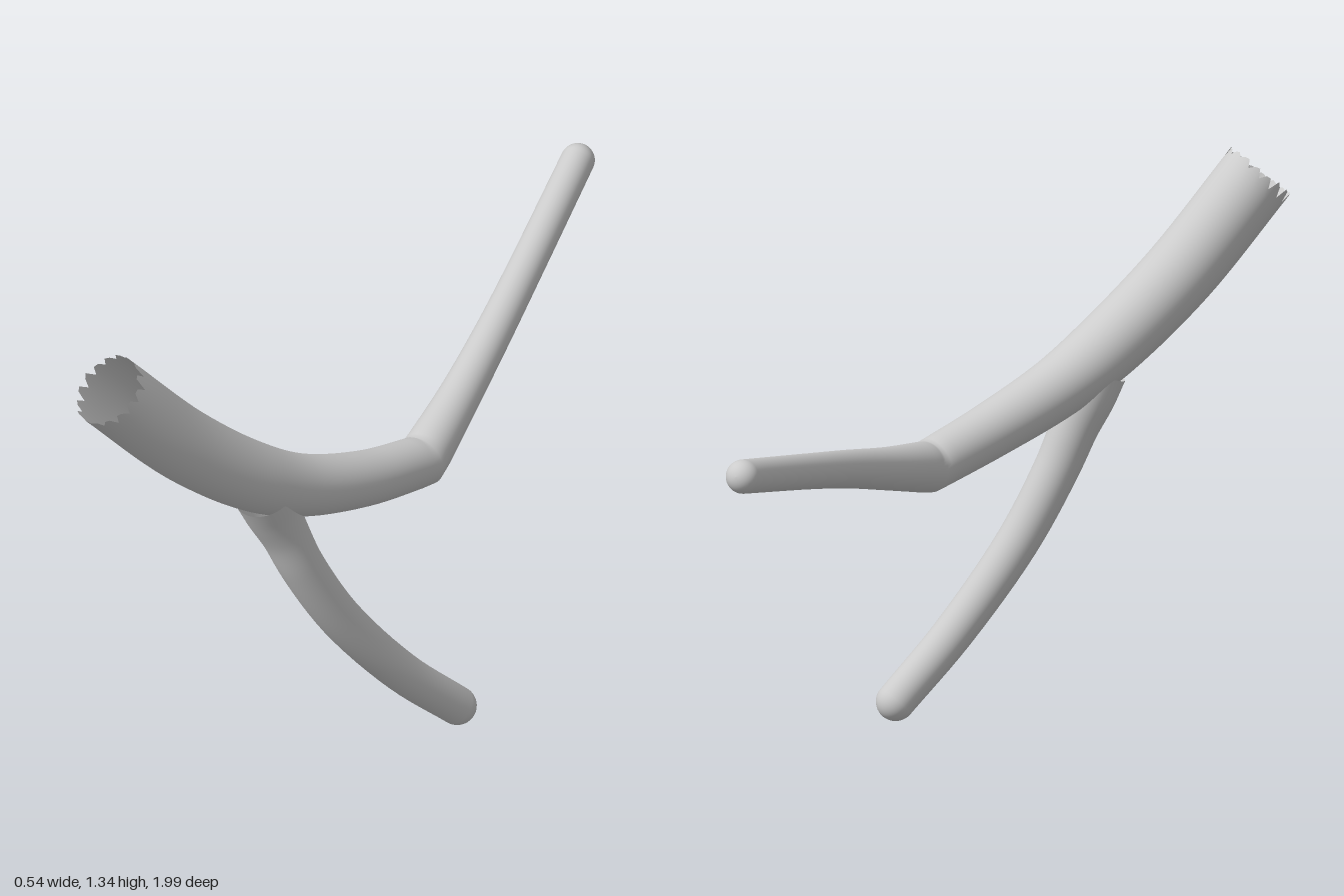
import * as THREE from 'three';

const SIDES = 48;

// Samples a smooth path of [x, y, z, radius] stations.
function samplePath(stations, perSpan) {
  const centre = new THREE.CatmullRomCurve3(stations.map(s => new THREE.Vector3(s[0], s[1], s[2])));
  const radius = new THREE.CatmullRomCurve3(stations.map(s => new THREE.Vector3(s[3], 0, 0)), false, 'catmullrom', 0.5);
  const n = (stations.length - 1) * perSpan;
  return Array.from({ length: n + 1 }, (_, i) => ({ p: centre.getPoint(i / n), r: radius.getPoint(i / n).x }));
}

// Adds a hemispherical tip to the end of a sampled path.
function roundTip(rings) {
  const end = rings[rings.length - 1];
  const dir = end.p.clone().sub(rings[rings.length - 2].p).normalize();
  for (let i = 1; i <= 10; i++) {
    const a = (i / 10) * Math.PI / 2;
    rings.push({ p: end.p.clone().addScaledVector(dir, end.r * Math.sin(a)), r: end.r * Math.cos(a) });
  }
  return rings;
}

// Skins the rings; rim(angle index) shifts the first ring along the path.
function sweep(rings, rim = () => 0) {
  const pos = [], index = [];
  rings.forEach(({ p, r }, i) => {
    const a = rings[Math.max(i - 1, 0)].p, b = rings[Math.min(i + 1, rings.length - 1)].p;
    const d1 = p.clone().sub(a).normalize(), d2 = b.clone().sub(p).normalize();
    const t = d1.add(d2).normalize();
    const u = new THREE.Vector3(1, 0, 0);
    u.addScaledVector(t, -u.dot(t)).normalize();
    const v = t.clone().cross(u);
    for (let j = 0; j < SIDES; j++) {
      const ang = (j / SIDES) * Math.PI * 2;
      const q = p.clone().addScaledVector(u, r * Math.cos(ang)).addScaledVector(v, r * Math.sin(ang));
      if (i === 0) q.addScaledVector(t, rim(j));
      pos.push(q.x, q.y, q.z);
      if (i < rings.length - 1) {
        const k = (j + 1) % SIDES, o = i * SIDES, n = o + SIDES;
        index.push(o + j, o + k, n + j, o + k, n + k, n + j);
      }
    }
  });
  const g = new THREE.BufferGeometry();
  g.setAttribute('position', new THREE.Float32BufferAttribute(pos, 3));
  g.setIndex(index);
  g.computeVertexNormals();
  return g;
}

export function createModel() {
  const group = new THREE.Group();
  const material = new THREE.MeshStandardMaterial({ color: 0xcccccc, side: THREE.DoubleSide });
  const add = (name, geometry) => {
    const mesh = new THREE.Mesh(geometry, material);
    mesh.name = name;
    group.add(mesh);
  };

  // Main tube: curved trunk, a sharp elbow, then a thinner closed arm
  const trunk = samplePath([
    [-0.18, 1.28, 0.92, 0.092], [-0.09, 1.05, 0.72, 0.091], [-0.015, 0.895, 0.54, 0.086],
    [0.03, 0.815, 0.4, 0.077], [0.075, 0.748, 0.2, 0.069], [0.103, 0.705, 0, 0.064],
  ], 8);
  const arm = samplePath([
    [0.103, 0.705, 0, 0.064], [0.067, 0.765, -0.2, 0.053], [0.026, 0.83, -0.4, 0.047],
    [-0.022, 0.892, -0.6, 0.044], [-0.113, 1.0, -0.955, 0.042],
  ], 7);

  // Ragged open rim, using a small seeded generator
  let seed = 11;
  const random = () => (seed = (seed * 16807) % 2147483647) / 2147483647;
  const rim = j => {
    const side = Math.abs(Math.cos((j / SIDES) * Math.PI * 2));
    const tooth = (j % 3 === 0 ? 0.03 : 0) + 0.012 * random();
    return 0.005 + tooth * (0.25 + 0.75 * side) - 0.012;
  };
  add('trunkAndArm', sweep([...trunk, ...roundTip(arm).slice(1)], rim));

  // Lower branch, flaring where it leaves the trunk
  const branch = samplePath([
    [-0.002, 0.835, 0.51, 0.076], [0.005, 0.775, 0.487, 0.069], [0.022, 0.7, 0.458, 0.06],
    [0.046, 0.6, 0.422, 0.056], [0.095, 0.42, 0.33, 0.053], [0.168, 0.21, 0.175, 0.05],
    [0.228, 0.058, 0.026, 0.048],
  ], 6);
  add('lowerBranch', sweep(roundTip(branch)));

  return group;
}
